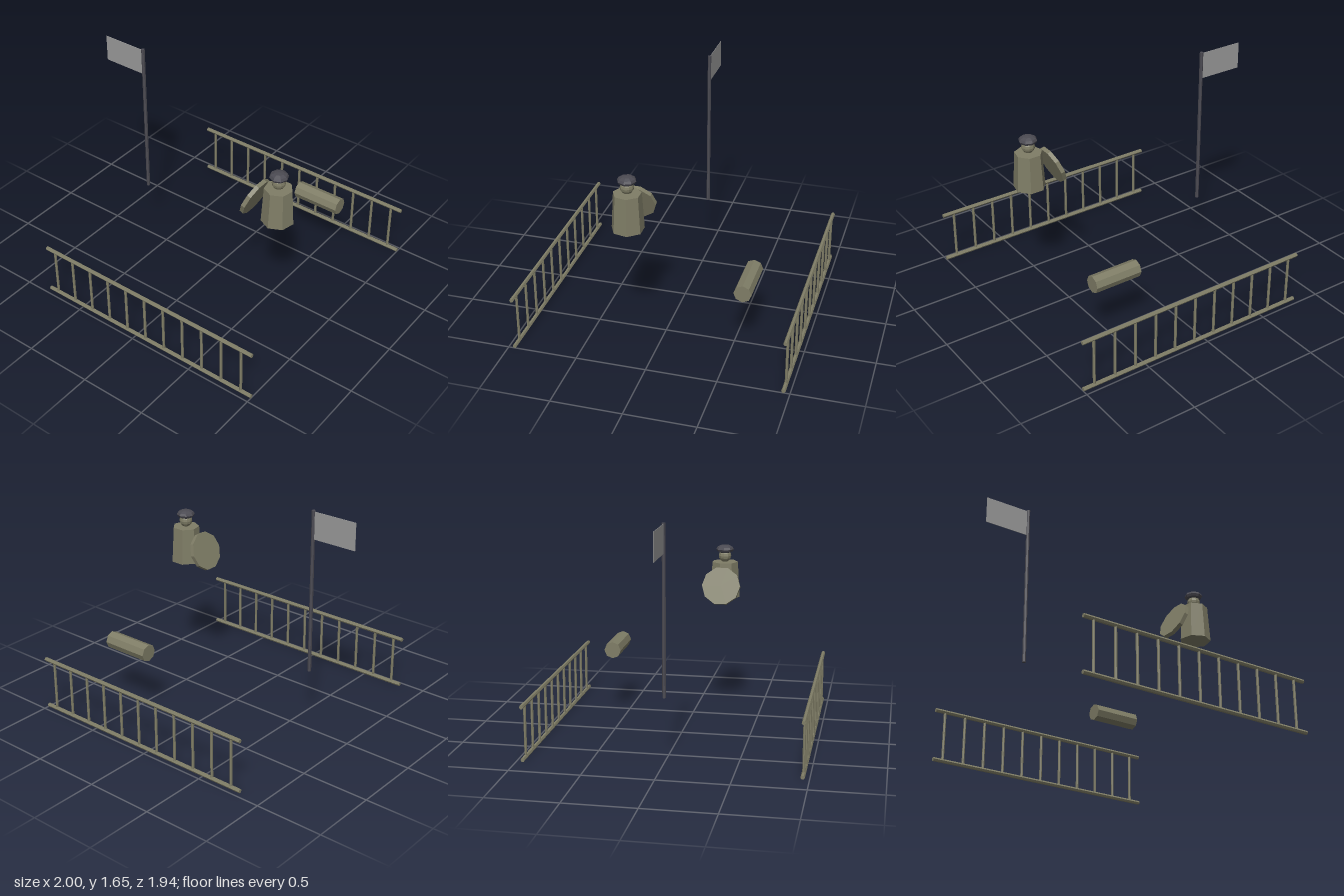
import * as THREE from 'three';

export function createModel() {
  const model = new THREE.Group();
  const mat = (name, color) => {
    const m = new THREE.MeshStandardMaterial({ color, flatShading: true });
    m.name = name;
    return m;
  };
  const olive = mat('olive', 0x7f7d66);
  const dark = mat('dark slate', 0x4b4a52);
  const cloth = mat('grey cloth', 0x999999);

  const add = (parent, name, geometry, material, x, y, z, rotZ = 0) => {
    const mesh = new THREE.Mesh(geometry, material);
    mesh.name = name;
    mesh.position.set(x, y, z);
    mesh.rotation.z = rotZ;
    parent.add(mesh);
    return mesh;
  };
  const group = (name) => {
    const g = new THREE.Group();
    g.name = name;
    model.add(g);
    return g;
  };
  const rod = (r, length, sides) => new THREE.CylinderGeometry(r, r, length, sides);

  // Railings along the front and back: two rails joined by eleven posts
  for (const side of [1, -1]) {
    const railing = group(side > 0 ? 'frontRailing' : 'backRailing');
    const z = side * 0.955;
    for (const y of [0.015, 0.39]) {
      add(railing, 'rail', rod(0.015, 1.82, 6), olive, 0.09, y, z, Math.PI / 2);
    }
    for (let i = 0; i < 11; i++) {
      add(railing, 'post', rod(0.01, 0.375, 6), olive, -0.743 + i * 0.1655, 0.2025, z);
    }
  }

  // Flag flying to one side of its pole
  const flag = group('flag');
  add(flag, 'pole', rod(0.013, 1.19, 6), dark, -0.66, 1.057, 0);
  add(flag, 'cloth', new THREE.BoxGeometry(0.34, 0.197, 0.003), cloth, -0.83, 1.546, 0);

  // Rolled bundle lying on its side
  add(model, 'roll', rod(0.063, 0.36, 8), olive, 0.5, 0.513, -0.59, Math.PI / 2);

  // Figure with a tapered body, round head and flat cap
  const figure = group('figure');
  const x = 0.667, z = 0.213;
  add(figure, 'body', new THREE.CylinderGeometry(0.099, 0.115, 0.27, 7), olive, x, 1.024, z);
  add(figure, 'head', new THREE.SphereGeometry(0.048, 10, 8), olive, x, 1.205, z);
  const cap = add(figure, 'cap', new THREE.SphereGeometry(0.067, 8, 6), dark, x, 1.255, z);
  cap.scale.y = 0.5;

  // Leaning round shield beside the figure
  add(figure, 'shield', rod(0.144, 0.03, 10), olive, 0.478, 1.005, z, 1.206);

  return model;
}
